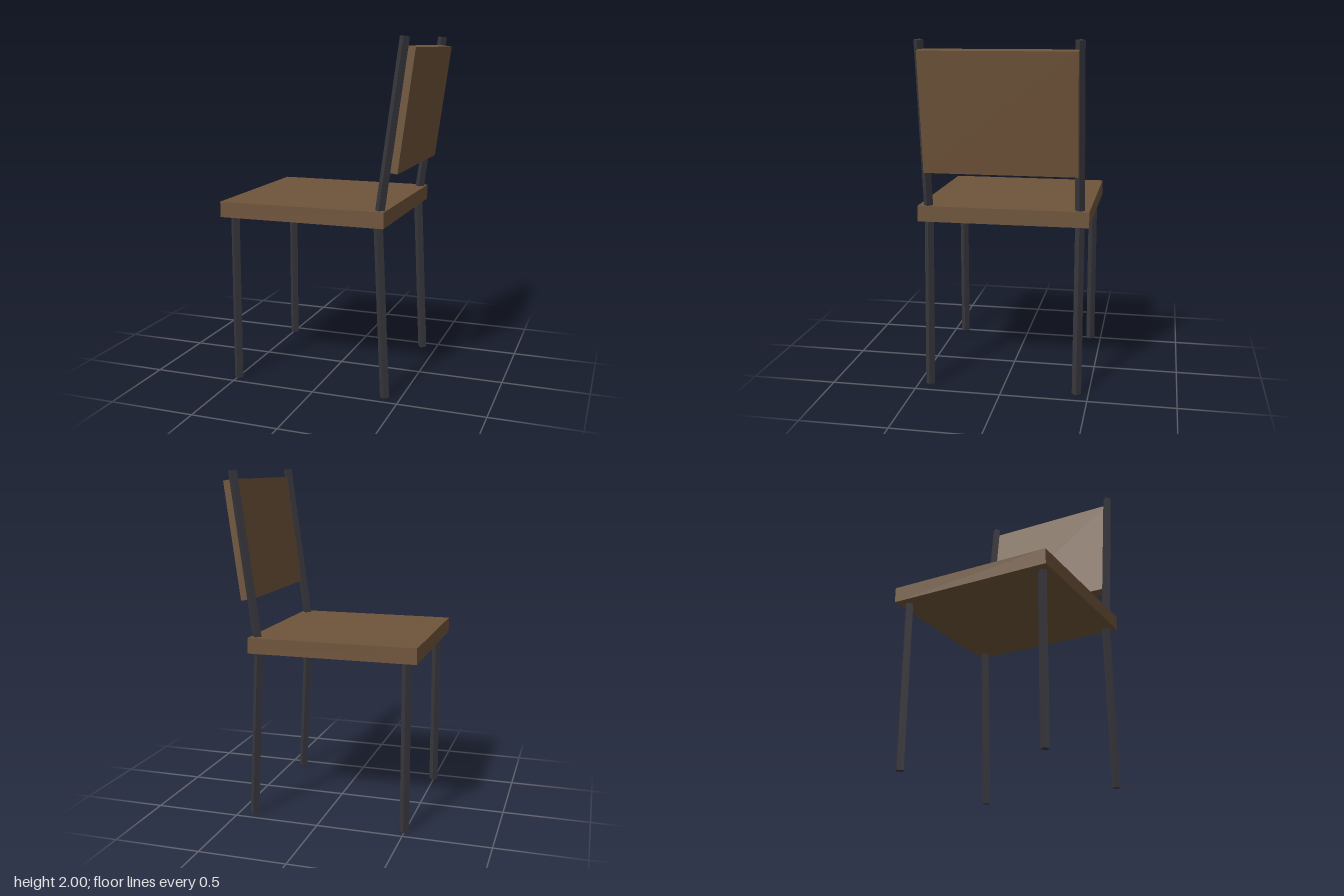
import * as THREE from 'three';

export function createModel() {
  const chair = new THREE.Group();
  chair.name = 'chair';

  const wood = new THREE.MeshStandardMaterial({ color: 0x6f543a, flatShading: true });
  wood.name = 'brown wood';
  const metal = new THREE.MeshStandardMaterial({ color: 0x37373d, flatShading: true });
  metal.name = 'dark metal';

  const add = (name, geometry, material, x, y, z, tilt = 0) => {
    const mesh = new THREE.Mesh(geometry, material);
    mesh.name = name;
    mesh.position.set(x, y, z);
    mesh.rotation.z = tilt;
    chair.add(mesh);
  };

  // Four-sided bar, corner forward, between two points in the x-y plane
  const bar = (name, x0, y0, x1, y1, z) => {
    const length = Math.hypot(x1 - x0, y1 - y0);
    const tilt = -Math.atan2(x1 - x0, y1 - y0);
    const geometry = new THREE.CylinderGeometry(0.027, 0.027, length, 4);
    add(name, geometry, metal, (x0 + x1) / 2, (y0 + y1) / 2, z, tilt);
  };

  // Seat slab
  add('seat', new THREE.BoxGeometry(0.974, 0.09, 0.974), wood, -0.077, 1.025, 0);

  // Legs and back posts, mirrored across z
  for (const [side, z] of [['right', 0.432], ['left', -0.432]]) {
    bar(`${side}FrontLeg`, -0.497, 0, -0.497, 1.02, z);
    bar(`${side}BackLeg`, 0.41, 0.001, 0.363, 1.02, z);
    bar(`${side}BackPost`, 0.367, 1.02, 0.5, 1.997, z);
  }

  // Backrest panel, leaning with the posts
  add('backrest', new THREE.BoxGeometry(0.066, 0.675, 0.86), wood, 0.481, 1.61, 0, -0.1353);

  return chair;
}
